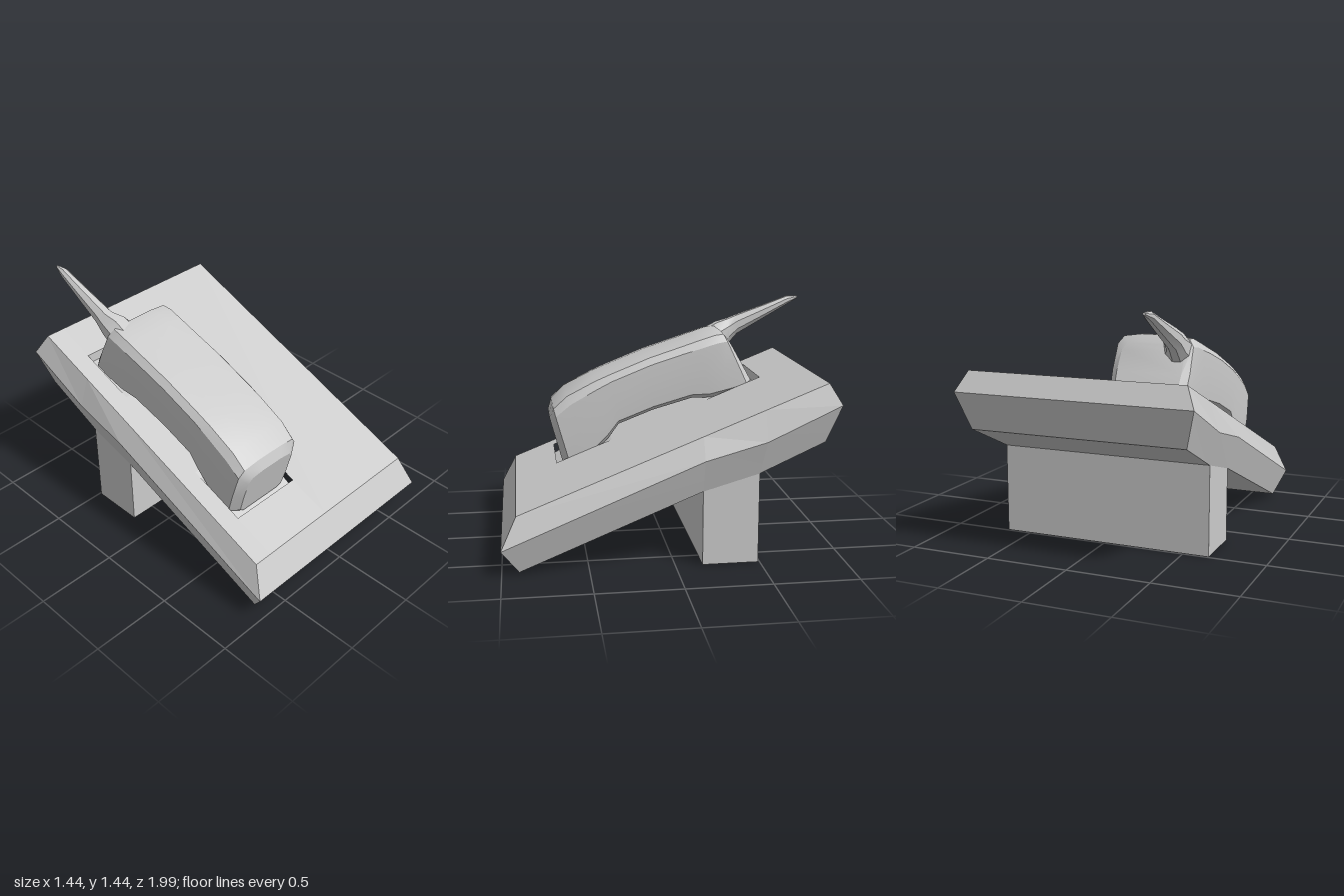
import * as THREE from 'three';
import { toCreasedNormals } from 'three/addons/utils/BufferGeometryUtils.js';

const material = new THREE.MeshStandardMaterial({ color: 0xcccccc });

// Mesh from quads with corners counter-clockwise seen from outside
function quadMesh(name, quads, crease = 0.02) {
  const pos = [];
  for (const [a, b, c, d] of quads) pos.push(...a, ...b, ...c, ...a, ...c, ...d);
  const geo = new THREE.BufferGeometry();
  geo.setAttribute('position', new THREE.Float32BufferAttribute(pos, 3));
  const mesh = new THREE.Mesh(toCreasedNormals(geo, crease), material);
  mesh.name = name;
  return mesh;
}

// Closes an even ring with strips running from one side to the other
function capQuads(ring) {
  const n = ring.length, quads = [];
  for (let i = 0; i < n / 2 - 1; i++) quads.push([ring[i], ring[i + 1], ring[n - 2 - i], ring[n - 1 - i]]);
  return quads;
}

// Skin over a row of rings, each counter-clockwise seen from the start
function loftQuads(rings, endCap = true) {
  const quads = capQuads(rings[0]), n = rings[0].length;
  for (let i = 0; i < rings.length - 1; i++) {
    for (let j = 0; j < n; j++) {
      const k = (j + 1) % n;
      quads.push([rings[i][j], rings[i + 1][j], rings[i + 1][k], rings[i][k]]);
    }
  }
  if (endCap) quads.push(...capQuads(rings[rings.length - 1]).map((q) => q.reverse()));
  return quads;
}

// Sloping slab with bevelled rim and a shallow cradle under the handset
function makeBase() {
  const topY = (z) => 0.345 + (0.91 - z) * 0.398;
  const layers = [
    [0.655, [[0.9, 0.01], [-0.16, 0.445], [-0.49, 0.54], [-0.875, 0.715]]],
    [0.72, [[1, 0.16], [-0.16, 0.64], [-0.52, 0.74], [-0.95, 0.94]]],
    [0.66, [0.91, -0.16, -0.52, -0.885].map((z) => [z, topY(z)])],
  ];
  const rings = layers.map(([x, side]) => [
    ...side.map(([z, y]) => [-x, y, z]),
    ...side.slice().reverse().map(([z, y]) => [x, y, z]),
  ]);
  const quads = loftQuads(rings, false);

  const patch = (x0, x1, z0, z1, d0 = 0, d1 = 0) => quads.push([
    [x0, topY(z0) - d0, z0], [x1, topY(z0) - d0, z0], [x1, topY(z1) - d1, z1], [x0, topY(z1) - d1, z1],
  ]);
  const [l, r, f, b] = [-0.54, -0.065, 0.65, -0.65];
  // top frame around the cradle
  patch(-0.66, l, 0.91, -0.885);
  patch(r, 0.66, 0.91, -0.885);
  patch(l, r, 0.91, f);
  patch(l, r, b, -0.885);
  // cradle floor, deepest at both ends
  const floor = [[f, 0.06], [0.3, 0], [-0.3, 0], [b, 0.06]];
  for (let i = 0; i < 3; i++) {
    const [z0, d0] = floor[i], [z1, d1] = floor[i + 1];
    patch(l, r, z0, z1, d0, d1);
    const wall = (x) => [[x, topY(z0) - d0, z0], [x, topY(z1) - d1, z1], [x, topY(z1), z1], [x, topY(z0), z0]];
    if (d0 + d1 > 0) quads.push(wall(r), wall(l).reverse());
  }
  const end = (z) => [[l, topY(z) - 0.06, z], [r, topY(z) - 0.06, z], [r, topY(z), z], [l, topY(z), z]];
  quads.push(end(b), end(f).reverse());
  return quadMesh('base', quads);
}

// Curved receiver: [top z, top y, bottom z, bottom y, half width]
function makeHandset() {
  const stations = [
    [0.688, 0.735, 0.605, 0.425, 0.185],
    [0.665, 0.805, 0.56, 0.42, 0.24],
    [0.58, 0.885, 0.42, 0.48, 0.243],
    [0.4, 0.975, 0.315, 0.59, 0.243],
    [0.3, 1.015, 0.25, 0.68, 0.243],
    [0.05, 1.115, 0.03, 0.765, 0.243],
    [-0.15, 1.18, -0.22, 0.835, 0.243],
    [-0.25, 1.215, -0.34, 0.835, 0.243],
    [-0.36, 1.25, -0.47, 0.865, 0.243],
    [-0.415, 1.255, -0.585, 0.895, 0.235],
    [-0.45, 1.215, -0.615, 0.92, 0.195],
  ];
  // right half of the section: [share of half width, share of height]
  const half = [[0.8, 0], [0.97, 0.08], [1, 0.45], [0.98, 0.84], [0.84, 0.96], [0.4, 1]];
  const section = [...half, ...half.slice().reverse().map(([u, v]) => [-u, v])];
  const rings = stations.map(([tz, ty, bz, by, w]) => section.map(([u, v]) => [
    -0.302 + u * w, by + (ty - by) * v, bz + (tz - bz) * v,
  ]));
  return quadMesh('handset', loftQuads(rings), 0.45);
}

// Tapered aerial: [z, centre x, half width, bottom y, top y]
function makeAntenna() {
  const stations = [
    [-0.34, -0.43, 0.09, 1.05, 1.225],
    [-0.44, -0.435, 0.085, 1.07, 1.275],
    [-0.52, -0.458, 0.056, 1.13, 1.295],
    [-0.58, -0.46, 0.05, 1.195, 1.318],
    [-0.76, -0.46, 0.038, 1.295, 1.38],
    [-0.92, -0.46, 0.027, 1.385, 1.438],
    [-0.99, -0.46, 0.008, 1.422, 1.438],
  ];
  const rings = stations.map(([z, x, w, y0, y1]) => Array.from({ length: 8 }, (_, i) => {
    const a = (i + 0.5) * Math.PI / 4, s = 1 / Math.cos(Math.PI / 8);
    return [x + Math.cos(a) * w * s, (y0 + y1) / 2 + Math.sin(a) * s * (y1 - y0) / 2, z];
  }));
  return quadMesh('antenna', loftQuads(rings), 0.5);
}

// Block foot under the rear, its top following the underside of the slab
function makeStand() {
  const ring = (y0, y1) => [[-0.655, y0, -0.16], [-0.655, y1, -0.49], [0.655, y1, -0.49], [0.655, y0, -0.16]];
  return quadMesh('stand', loftQuads([ring(0, 0), ring(0.45, 0.545)]));
}

export function createModel() {
  const model = new THREE.Group();
  model.name = 'deskTelephone';
  model.add(makeBase(), makeStand(), makeHandset(), makeAntenna());
  return model;
}
